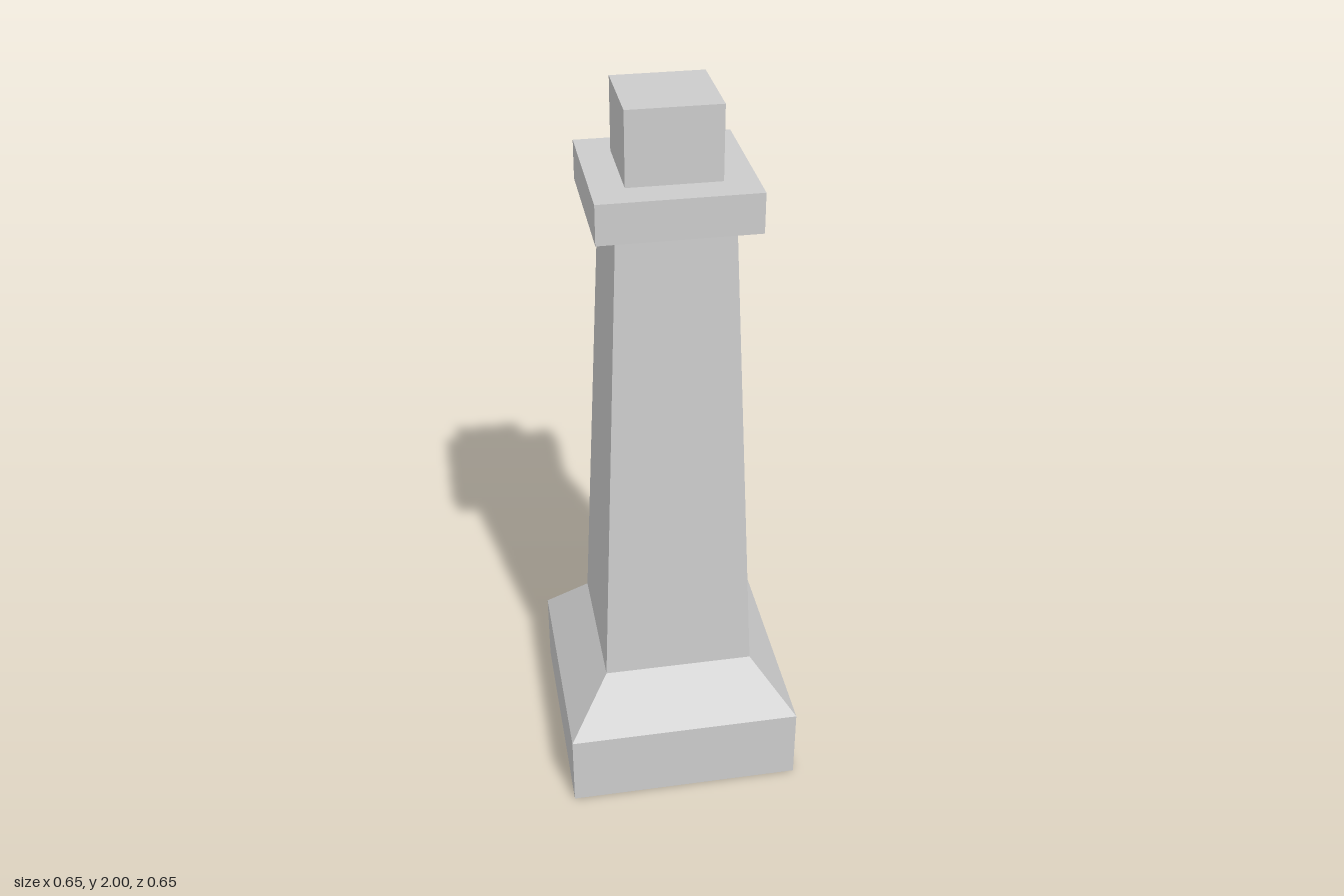
import * as THREE from 'three';

const material = new THREE.MeshStandardMaterial({ color: 0xcccccc, flatShading: true });

// Square block from y0 to y1, with its own half-width at the bottom and top
function squareBlock(name, y0, y1, bottomHalf, topHalf = bottomHalf) {
  const geometry = new THREE.CylinderGeometry(
    topHalf * Math.SQRT2, bottomHalf * Math.SQRT2, y1 - y0, 4, 1, false, Math.PI / 4);
  geometry.translate(0, (y0 + y1) / 2, 0);
  const mesh = new THREE.Mesh(geometry, material);
  mesh.name = name;
  return mesh;
}

export function createModel() {
  const group = new THREE.Group();
  group.name = 'squarePillar';
  group.add(
    squareBlock('plinth', 0, 0.217, 0.326),
    squareBlock('slopedBase', 0.217, 0.362, 0.326, 0.209),
    squareBlock('taperedShaft', 0.362, 1.7, 0.209, 0.151),
    squareBlock('collar', 1.7, 1.806, 0.206),
    squareBlock('topBlock', 1.806, 2, 0.121),
  );
  return group;
}
